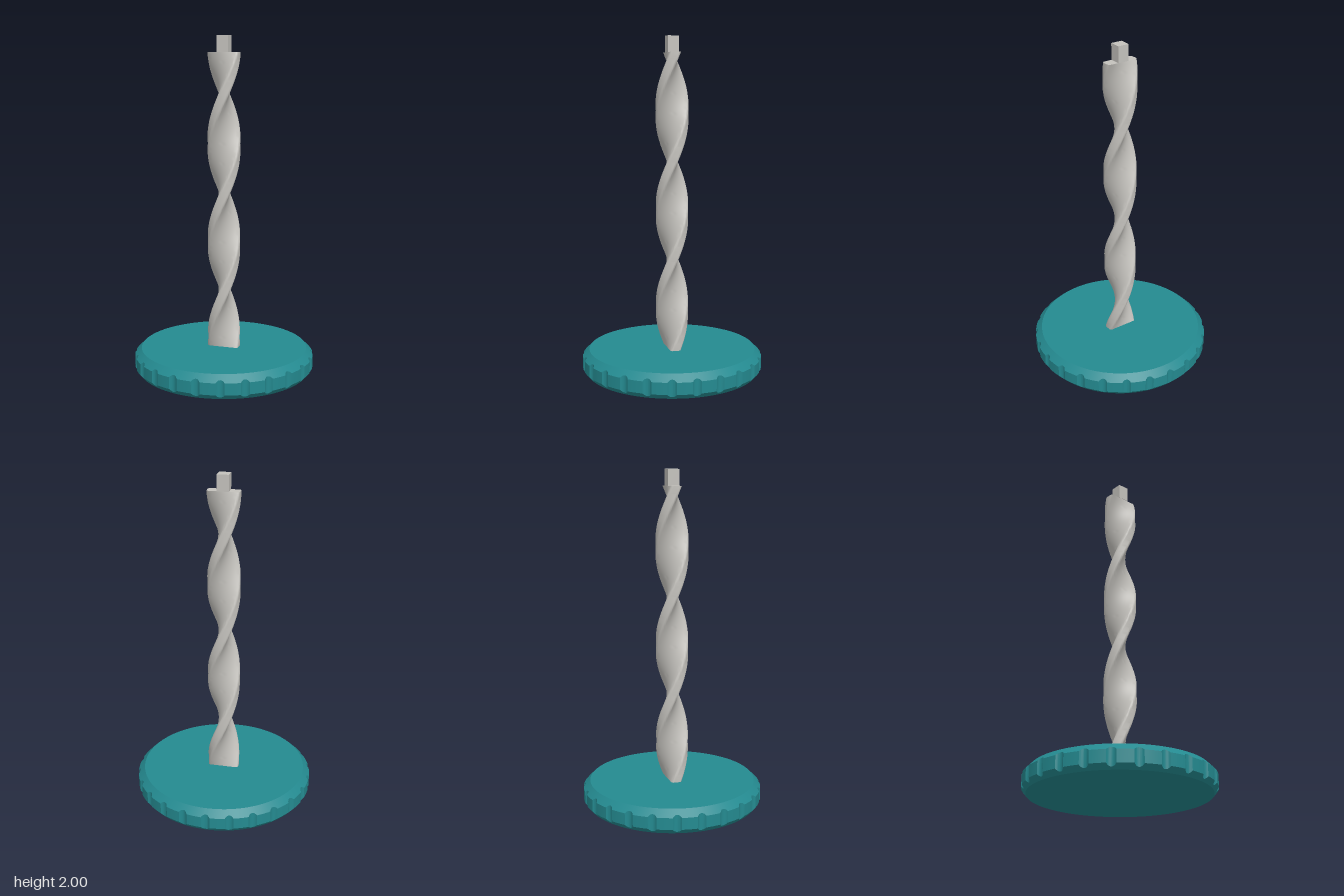
import * as THREE from 'three';
import { toCreasedNormals } from 'three/addons/utils/BufferGeometryUtils.js';

const BASE_TOP = 0.14, BLADE_TOP = 1.905;

// Outline of the knurled rim: [angle, radius] pairs, a round scallop every 15 degrees
function rimOutline() {
  const R = 0.54, notchR = 0.031, centre = 0.557, count = 24;
  const half = Math.acos((notchR ** 2 + centre ** 2 - R ** 2) / (2 * notchR * centre));
  const points = [];
  for (let i = 0; i < count; i++) {
    const mid = (i / count) * Math.PI * 2;
    let edge = 0;
    for (let j = 0; j <= 8; j++) {
      const a = -half + (2 * half * j) / 8;
      const x = centre - notchR * Math.cos(a), y = notchR * Math.sin(a);
      edge = Math.atan2(y, x);
      points.push([mid + edge, Math.hypot(x, y)]);
    }
    const span = (Math.PI * 2) / count - 2 * edge;
    for (let j = 1; j < 5; j++) points.push([mid + edge + (span * j) / 5, R]);
  }
  return points;
}

// Disc with chamfered top and bottom edges and scallops cut straight down
function baseGeometry() {
  const outline = rimOutline(), n = outline.length;
  const position = [], index = [];
  for (const [a, r] of outline) {
    const lowY = (0.03 * (r - 0.515)) / 0.025;
    const highY = BASE_TOP - (r - 0.5);
    const rows = [[0, 0], [0.515, 0], [r, lowY], [r, highY], [0.5, BASE_TOP], [0, BASE_TOP]];
    for (const [radius, y] of rows) position.push(radius * Math.sin(a), y, radius * Math.cos(a));
  }
  for (let i = 0; i < n; i++) {
    for (let k = 0; k < 5; k++) {
      const a = i * 6 + k, b = ((i + 1) % n) * 6 + k;
      if (k > 0) index.push(a, b, b + 1);
      if (k < 4) index.push(a, b + 1, a + 1);
      if (k === 0) continue;
    }
  }
  const g = new THREE.BufferGeometry();
  g.setAttribute('position', new THREE.Float32BufferAttribute(position, 3));
  g.setIndex(index);
  return toCreasedNormals(g, 0.45);
}

// Rounded bar section, with its long sides subdivided so that the twist shades smoothly
function bladeShape() {
  const hx = 0.095, hy = 0.032, r = 0.015, pts = [];
  const corners = [[1, 1], [-1, 1], [-1, -1], [1, -1]];
  corners.forEach(([sx, sy], c) => {
    for (let j = 0; j <= 4; j++) {
      const a = (c + j / 4) * Math.PI / 2;
      pts.push(new THREE.Vector2(sx * (hx - r) + r * Math.cos(a), sy * (hy - r) + r * Math.sin(a)));
    }
    if (c % 2 === 0) {
      for (let j = 1; j < 8; j++) pts.push(new THREE.Vector2(sx * (hx - r) * (1 - j / 4), sy * hy));
    }
  });
  return new THREE.Shape(pts);
}

// Bar extruded upwards and twisted through one and a half turns
function bladeGeometry() {
  const height = BLADE_TOP - BASE_TOP;
  const g = new THREE.ExtrudeGeometry(bladeShape(), { depth: height, steps: 120, bevelEnabled: false });
  g.rotateX(-Math.PI / 2);
  const p = g.attributes.position, v = new THREE.Vector3(), up = new THREE.Vector3(0, 1, 0);
  for (let i = 0; i < p.count; i++) {
    v.fromBufferAttribute(p, i);
    v.applyAxisAngle(up, (v.y / height) * Math.PI * 3);
    p.setXYZ(i, v.x, v.y + BASE_TOP, v.z);
  }
  return toCreasedNormals(g, 0.6);
}

export function createModel() {
  const teal = new THREE.MeshStandardMaterial({ color: 0x248a90 });
  teal.name = 'teal';
  const steel = new THREE.MeshStandardMaterial({ color: 0xc4c2bd });
  steel.name = 'light grey';

  const model = new THREE.Group();
  model.name = 'twistedRodOnBase';
  const add = (name, geometry, material) => {
    const mesh = new THREE.Mesh(geometry, material);
    mesh.name = name;
    model.add(mesh);
    return mesh;
  };

  add('knurledBase', baseGeometry(), teal);
  add('twistedBlade', bladeGeometry(), steel);
  // Square drive peg on top of the blade
  const peg = add('drivePeg', new THREE.BoxGeometry(0.068, 2 - BLADE_TOP, 0.068), steel);
  peg.position.y = (2 + BLADE_TOP) / 2;
  return model;
}
